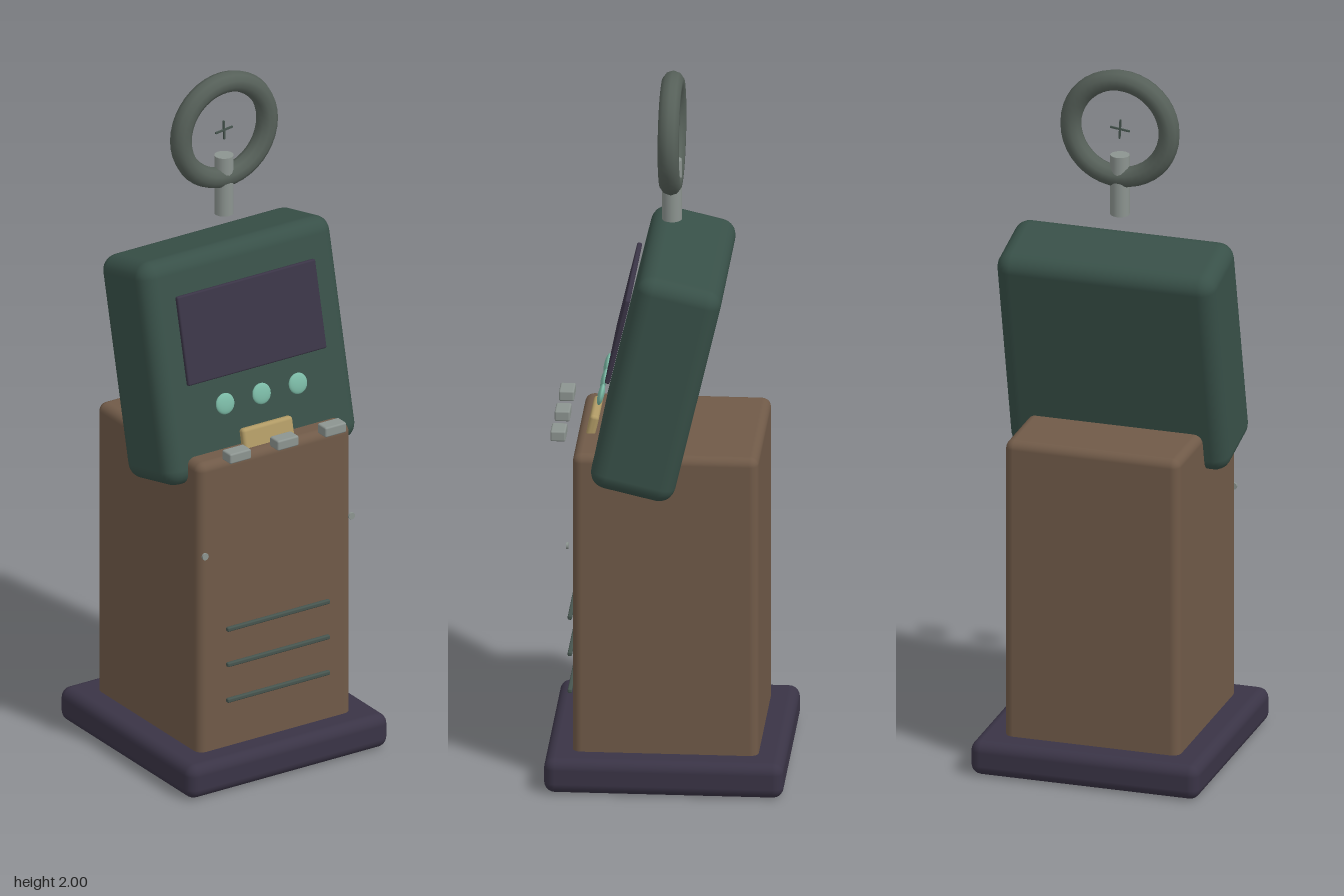
import * as THREE from 'three';
import { RoundedBoxGeometry } from 'three/addons/geometries/RoundedBoxGeometry.js';

const paint = (color) => new THREE.MeshStandardMaterial({ color });
const plum = paint(0x3a3446), brown = paint(0x705a48), green = paint(0x385048);
const mint = paint(0x7ab8a4), gold = paint(0xb09a65), grey = paint(0x8c9490);
const iron = paint(0x566059), slate = paint(0x46544e);

export function createModel() {
  const model = new THREE.Group();
  model.name = 'kiosk';

  const add = (parent, name, geometry, material, x, y, z) => {
    const mesh = new THREE.Mesh(geometry, material);
    mesh.name = name;
    mesh.position.set(x, y, z);
    parent.add(mesh);
    return mesh;
  };
  const block = (w, h, d, r) => new RoundedBoxGeometry(w, h, d, 3, r);

  // Plinth and cabinet
  add(model, 'base', block(0.66, 0.1, 0.66, 0.03), plum, 0, 0.05, 0);
  add(model, 'cabinet', block(0.505, 0.92, 0.512, 0.025), brown, 0, 0.51, 0);

  // Console leaning back, with everything mounted on its face
  const head = new THREE.Group();
  head.name = 'console';
  head.position.set(0, 1.18, 0.024);
  head.rotation.x = -0.23;
  model.add(head);
  add(head, 'consoleShell', block(0.632, 0.638, 0.237, 0.045), green, 0, 0, 0);
  add(head, 'screen', block(0.456, 0.254, 0.014, 0.005), plum, 0, 0.087, 0.133);
  for (const x of [-0.12, 0, 0.12]) {
    add(head, 'button', new THREE.SphereGeometry(0.03, 20, 14), mint, x, -0.115, 0.14)
      .scale.z = 0.3;
  }
  add(head, 'tray', block(0.166, 0.08, 0.025, 0.01), gold, 0, -0.236, 0.141);

  // Keys in front of the console
  for (const x of [-0.157, 0, 0.157]) {
    add(model, 'key', block(0.07, 0.03, 0.042, 0.005), grey, x, 1, 0.3);
  }

  // Vent slots and bolts on the cabinet front
  for (const y of [0.245, 0.353, 0.46]) {
    add(model, 'ventSlot', block(0.338, 0.013, 0.012, 0.004), slate, 0, y, 0.269);
  }
  for (const x of [-0.241, 0.241]) {
    add(model, 'bolt', new THREE.CylinderGeometry(0.01, 0.01, 0.006, 12), grey, x, 0.7, 0.27)
      .rotation.x = Math.PI / 2;
  }

  // Ring on its stem, with a fine cross in the middle
  add(model, 'stem', new THREE.CylinderGeometry(0.027, 0.027, 0.175, 16), grey, 0, 1.663, 0);
  add(model, 'ring', new THREE.TorusGeometry(0.142, 0.03, 10, 40), iron, 0, 1.828, 0);
  for (const angle of [0.12, Math.PI / 2 + 0.05]) {
    add(model, 'crossBar', new THREE.BoxGeometry(0.056, 0.005, 0.005), slate, 0, 1.826, 0)
      .rotation.z = angle;
  }

  return model;
}
